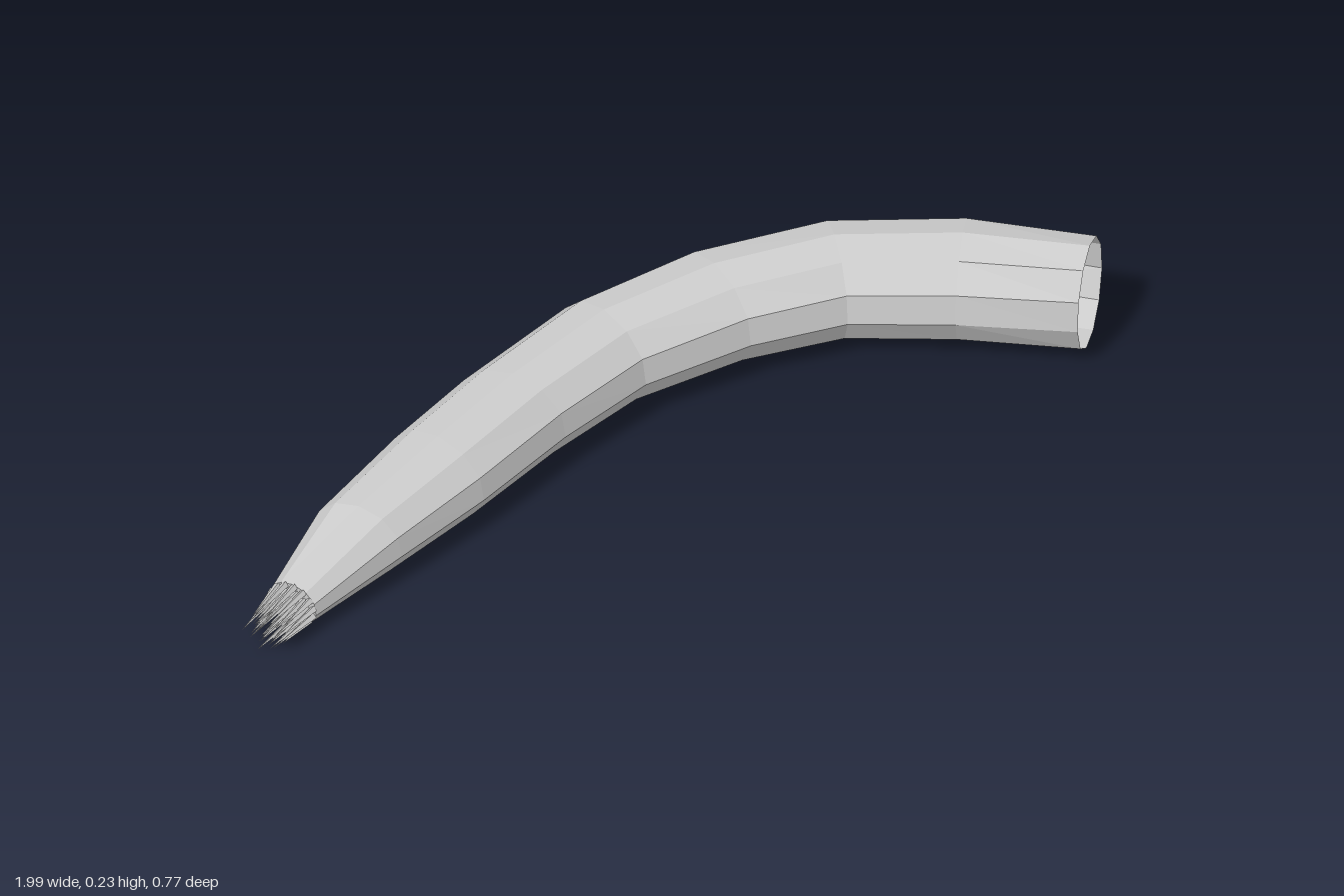
import * as THREE from 'three';

const SIDES = 11;

// Cross-sections from thin end to open end: outer x, z, inner x, z, bottom y, top y
const SECTIONS = [
  [-0.88, -0.255, -0.87, -0.142, 0.012, 0.1],
  [-0.67, -0.325, -0.63, -0.13, 0.006, 0.157],
  [-0.4, -0.365, -0.39, -0.127, 0.006, 0.181],
  [-0.18, -0.384, -0.13, -0.143, 0.008, 0.196],
  [0.13, -0.39, 0.1, -0.137, 0.01, 0.208],
  [0.4, -0.325, 0.33, -0.065, 0.012, 0.22],
  [0.67, -0.185, 0.51, 0.03, 0.01, 0.226],
  [0.87, 0.03, 0.65, 0.19, 0.008, 0.23],
  [0.99, 0.275, 0.795, 0.385, 0.005, 0.233],
];

// Point on a section; k = 0 is the centre, k = 1 the rim, angle 0 is the top
function sectionPoint([ox, oz, ix, iz, y0, y1], angle, k = 1) {
  const s = Math.sin(angle) * 0.5 * k;
  const r = (y1 - y0) / 1.96;
  return new THREE.Vector3(
    (ox + ix) / 2 + (ox - ix) * s,
    y1 - r + r * Math.cos(angle) * k,
    (oz + iz) / 2 + (oz - iz) * s
  );
}

function tubeGeometry() {
  const pos = [], index = [];
  for (const section of SECTIONS)
    for (let j = 0; j < SIDES; j++)
      pos.push(...sectionPoint(section, (j / SIDES) * Math.PI * 2).toArray());
  for (let i = 0; i < SECTIONS.length - 1; i++)
    for (let j = 0; j < SIDES; j++) {
      const a = i * SIDES + j, b = i * SIDES + ((j + 1) % SIDES);
      index.push(a, a + SIDES, b, b, a + SIDES, b + SIDES);
    }
  // Close the thin end behind the bristles
  const centre = pos.length / 3;
  pos.push(...sectionPoint(SECTIONS[0], 0, 0).toArray());
  for (let j = 0; j < SIDES; j++) index.push(centre, j, (j + 1) % SIDES);
  const geo = new THREE.BufferGeometry();
  geo.setAttribute('position', new THREE.Float32BufferAttribute(pos, 3));
  geo.setIndex(index);
  geo.computeVertexNormals();
  return geo;
}

export function createModel() {
  const group = new THREE.Group();
  const material = new THREE.MeshStandardMaterial({
    color: 0xcccccc, flatShading: true, side: THREE.DoubleSide,
  });

  // Curved, tapering tube, open at the wide end
  const tube = new THREE.Mesh(tubeGeometry(), material);
  tube.name = 'taperedTube';
  group.add(tube);

  // Thin spikes in concentric rings at the narrow end
  const bristles = new THREE.Group();
  bristles.name = 'bristles';
  const up = new THREE.Vector3(0, 1, 0);
  for (const [k, count] of [[0.9, 14], [0.6, 10], [0.25, 5]])
    for (let j = 0; j < count; j++) {
      const angle = ((j + k) / count) * Math.PI * 2;
      const base = sectionPoint(SECTIONS[0], angle, k);
      const tip = sectionPoint(SECTIONS[0], angle, k * 0.85);
      tip.x = -1 + 0.04 * k * ((j % 3) / 2);
      tip.y -= 0.005;
      tip.z += 0.018;
      const dir = tip.clone().sub(base);
      const spike = new THREE.Mesh(new THREE.ConeGeometry(0.008, dir.length(), 4), material);
      spike.name = 'bristle';
      spike.position.copy(base).add(tip).multiplyScalar(0.5);
      spike.quaternion.setFromUnitVectors(up, dir.normalize());
      bristles.add(spike);
    }
  group.add(bristles);
  return group;
}
